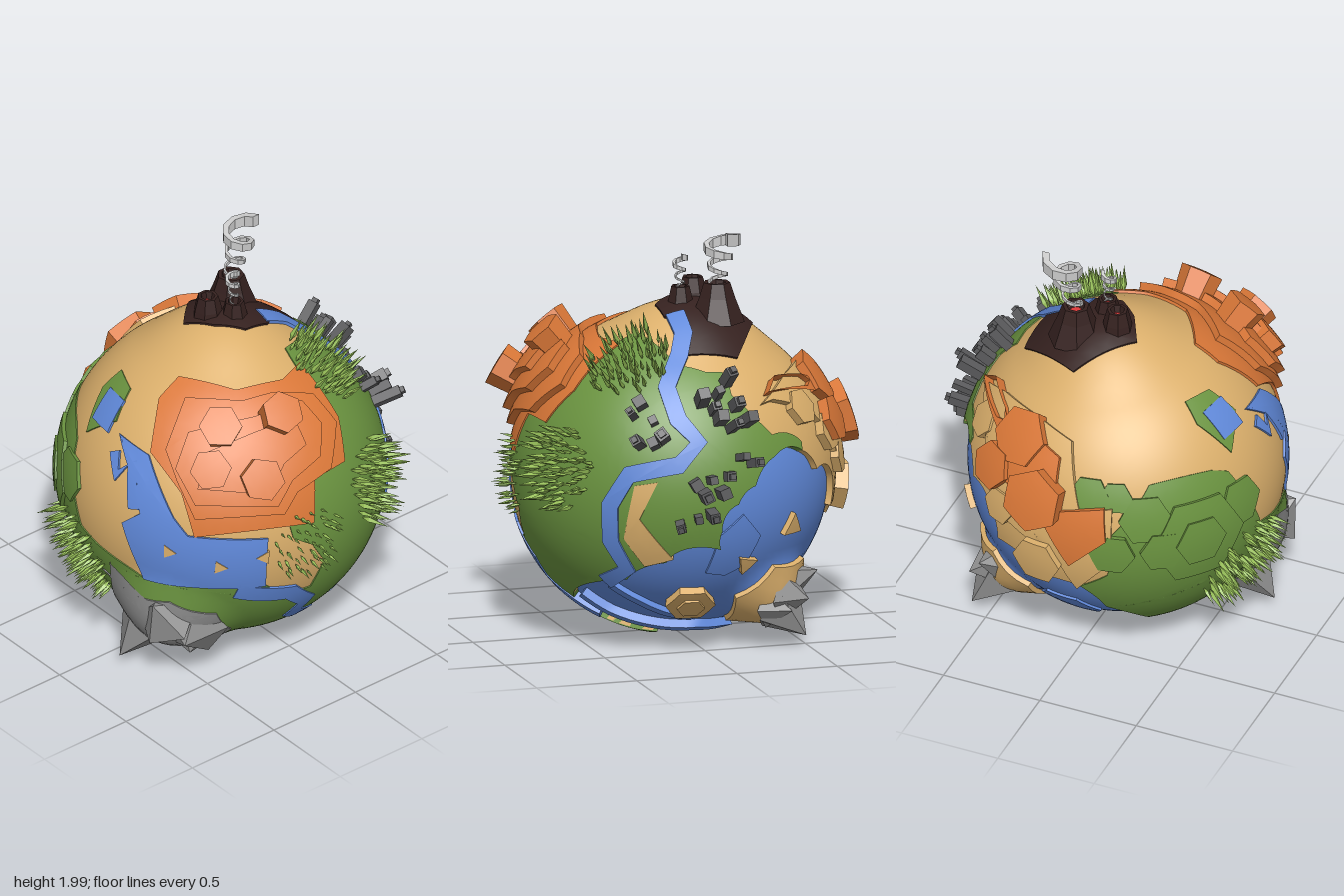
import * as THREE from 'three';
import { mergeGeometries, toCreasedNormals } from 'three/addons/utils/BufferGeometryUtils.js';

const R = 0.775, CY = 0.785, SEA = -0.03;
const GREEN = 0x6b9440, SAND = 0xdcb06c, ORANGE = 0xdb7838, BLUE = 0x6089da;
const BROWN = 0x35211f, GREY = 0x8c8c8c, LEAF = 0x97bf58, CITY = 0x5a5a5c;
const V = (x, y, z) => new THREE.Vector3(x, y, z);
const dir = (x, y, z) => V(x, y, z).normalize();

let seed = 7;
const rand = () => (seed = (seed * 16807) % 2147483647) / 2147483647;

// Flat charts: each turns a list of u, v pairs into directions from the globe's centre
const chart = (a, b, toward, scale, v0 = 0) => (...n) => {
  const out = [];
  for (let i = 0; i < n.length; i += 2) {
    const p = a.clone().multiplyScalar(n[i] / scale / R).addScaledVector(b, (n[i + 1] - v0) / scale / R);
    const l = p.lengthSq();
    if (l < 1) p.addScaledVector(toward, Math.sqrt(1 - l));
    out.push(p.normalize());
  }
  return out;
};
const F = chart(V(1, 0, 0), V(0, 1, 0), V(0, 0, 1), 100, 78.5); // front: x, y
const S = chart(V(0, 0, 1), V(0, 1, 0), V(1, 0, 0), 100, 78.5); // side: z, y
const T = chart(V(1, 0, 0), V(0, 0, 1), V(0, 1, 0), 100);       // top: x, z
const h = Math.SQRT1_2, q = h / 2, k = Math.sqrt(0.75);
const BL = chart(V(-h, 0, h), V(q, k, q), V(-k * h, 0.5, -k * h), 157);  // back corner, high
const BR = chart(V(-h, 0, -h), V(q, k, -q), V(k * h, -0.5, -k * h), 157); // back corner, low

// Ground height: sphere plus rises under the volcano and the two crags
const CRAG_A = dir(0.57, -0.70, -0.44), CRAG_B = dir(-0.64, -0.55, 0.32);
const rises = [[dir(0.1, 1, -0.1), 0.075, 0.6], [CRAG_A, 0.13, 0.36], [CRAG_B, 0.13, 0.5]];
const ground = d => rises.reduce((r, [c, amp, w]) => {
  const t = Math.max(0, 1 - d.angleTo(c) / w);
  return r + amp * t * t * (3 - 2 * t);
}, R);
const onGround = (d, up = 0) => d.clone().multiplyScalar(ground(d) + up).add(V(0, CY, 0));

export function createModel() {
  const root = new THREE.Group();
  const mats = {};
  const add = (name, geo, color, flat = false) => {
    const key = color + '-' + flat;
    mats[key] ??= new THREE.MeshStandardMaterial({ color, flatShading: flat, side: THREE.DoubleSide });
    const m = new THREE.Mesh(geo, mats[key]);
    m.name = name;
    root.add(m);
    return m;
  };

  // Raised patch of ground: outline filled, split finely and wrapped on the globe, with a skirt
  const patch = (name, color, pts, up, centre) => {
    const c = centre || pts.reduce((s, p) => s.add(p), V(0, 0, 0)).normalize();
    const e1 = V(0.31, 0.22, 0.93).cross(c).normalize(), e2 = c.clone().cross(e1);
    let flat = pts.map(p => {
      const x = p.dot(e1), y = p.dot(e2), s = c.angleTo(p) / (Math.hypot(x, y) || 1);
      return new THREE.Vector2(x * s, y * s);
    });
    if (THREE.ShapeUtils.isClockWise(flat)) flat = flat.reverse();
    const wrap = (p, off) => {
      const a = p.length(), s = a ? Math.sin(a) / a : 1;
      return onGround(c.clone().multiplyScalar(Math.cos(a)).addScaledVector(e1, p.x * s).addScaledVector(e2, p.y * s), off);
    };
    const pos = [], LIM = 0.085;
    const tri = (...v) => v.forEach(p => pos.push(p.x, p.y, p.z));
    const mid = (a, b) => a.clone().add(b).multiplyScalar(0.5);
    const fill = (a, b, d) => {
      const ab = a.distanceTo(b), bd = b.distanceTo(d), da = d.distanceTo(a), m = Math.max(ab, bd, da);
      if (m < LIM) tri(wrap(a, up), wrap(b, up), wrap(d, up));
      else if (m === ab) { const x = mid(a, b); fill(a, x, d); fill(x, b, d); }
      else if (m === bd) fill(b, d, a);
      else fill(d, a, b);
    };
    const skirt = (a, b) => {
      if (a.distanceTo(b) >= LIM) { const x = mid(a, b); skirt(a, x); skirt(x, b); return; }
      const [a0, b0, a1, b1] = [wrap(a, SEA - 0.01), wrap(b, SEA - 0.01), wrap(a, up), wrap(b, up)];
      tri(a0, b0, b1, a0, b1, a1);
    };
    THREE.ShapeUtils.triangulateShape(flat, []).forEach(f => fill(flat[f[0]], flat[f[1]], flat[f[2]]));
    flat.forEach((p, i) => skirt(p, flat[(i + 1) % flat.length]));
    const g = new THREE.BufferGeometry();
    g.setAttribute('position', new THREE.Float32BufferAttribute(pos, 3));
    return add(name, toCreasedNormals(g, 0.6), color);
  };
  const hexTile = (name, color, d, radius, up, turn = 0, sides = 6) => {
    const e1 = V(0, 1, 0).cross(d).normalize(), e2 = d.clone().cross(e1);
    return patch(name, color, Array.from({ length: sides }, (_, i) => {
      const a = turn + i / sides * Math.PI * 2;
      return d.clone().addScaledVector(e1, Math.cos(a) * radius / R).addScaledVector(e2, Math.sin(a) * radius / R).normalize();
    }), up);
  };
  const ribbon = (name, color, pts, half, up) => {
    const L = [], Rr = [];
    pts.forEach((p, i) => {
      const t = pts[Math.min(i + 1, pts.length - 1)].clone().sub(pts[Math.max(i - 1, 0)]);
      const s = p.clone().cross(t).normalize().multiplyScalar(half / R);
      L.push(p.clone().add(s).normalize());
      Rr.unshift(p.clone().sub(s).normalize());
    });
    patch(name, color, [...L, ...Rr], up);
  };
  // Stand a geometry built along +y on the ground, pointing outward
  const stand = (geo, d, up = 0, spin = 0, out = d) => {
    const p = onGround(d, up);
    return geo.rotateY(spin).applyQuaternion(new THREE.Quaternion().setFromUnitVectors(V(0, 1, 0), out)).translate(p.x, p.y, p.z);
  };

  // Sunken ocean globe
  const globe = new THREE.SphereGeometry(1, 96, 64), gp = globe.attributes.position;
  for (let i = 0; i < gp.count; i++) {
    const p = onGround(V().fromBufferAttribute(gp, i).normalize(), SEA);
    gp.setXYZ(i, p.x, p.y, p.z);
  }
  globe.computeVertexNormals();
  add('ocean', globe, BLUE);

  // Sandy mainland: everything outside the coastline
  const coast = [...S(-28, 98, -17, 86, -8, 78, 0, 65, 0, 56, 25, 50, 40, 40, 52, 36, 55, 27, 40, 12, 15, 6),
    ...BR(39, -95, 86, -63, 91, -30, 91, 2, 69, 14, 34, 38, 26, 66, 0, 72), ...S(-45, 98)];
  const inland = coast.reduce((s, p) => s.sub(p), V(0, 0, 0)).normalize();
  patch('mainland', SAND, coast, 0, inland);

  // Grassland over the front, side and underside
  patch('grassland', GREEN, [...F(18, 150), ...S(20, 148, 12, 140, 0, 137, -10, 136, -10, 127, -20, 116, -28, 108, -45, 102, -45, 98),
    ...coast.slice(0, 15), ...BL(-55, -73, -55, -43, -40, -30, -22, -8, 28, -8, 42, -12, 55, -35, 70, -60, 85, -58),
    ...F(-70, 60, -30, 60, -18, 50, -5, 50, 0, 65, -8, 78, -18, 85, -20, 100, 0, 115, 20, 130)], 0.006, inland);
  hexTile('grassTile', GREEN, BL(13, -58)[0], 0.25, 0.025);
  hexTile('grassTileTop', GREEN, BL(13, -58)[0], 0.13, 0.035);
  [[-28, -34, 0.13], [50, -38, 0.13], [-47, -13, 0.08]].forEach(([x, y, r]) => hexTile('grassTile', GREEN, BL(x, y)[0], r, 0.018));
  [[-62, -48], [-50, -66], [-28, -80]].forEach(([x, z], i) => hexTile('grassTile', GREEN, T(x, z)[0], 0.11, 0.02 + i * 0.006, i));
  hexTile('grassTile', GREEN, T(-13, -71)[0], 0.1, 0.02);

  // Ocean shelves and islands
  patch('oceanShelf', BLUE, S(5, 42, -5, 40, -15, 45, -22, 60, -12, 72, 0, 62), SEA + 0.012);
  hexTile('oceanShelf', BLUE, BR(54, -43)[0], 0.17, SEA + 0.012);
  ribbon('oceanLip', BLUE, S(53, 27, 40, 18, 22, 12, 0, 10, -18, 9), 0.025, 0.012);
  ribbon('oceanLip', BLUE, S(46, 35, 32, 26, 20, 20, 5, 16), 0.018, 0);
  hexTile('islandRing', SAND, S(9, 25)[0], 0.12, 0.012);
  hexTile('islandTop', SAND, S(9, 25)[0], 0.065, 0.025);
  hexTile('islet', SAND, S(-40, 62)[0], 0.07, 0, -0.5, 3);
  hexTile('islet', SAND, S(-15, 46)[0], 0.06, 0, 0.3, 3);
  hexTile('cragIsland', SAND, CRAG_A, 0.25, -0.005);
  patch('sandBank', SAND, S(40, 88, 30, 90, 38, 72, 22, 52, 34, 48, 44, 62), 0.012);

  // Rivers, lake and pond
  ribbon('lavaSideRiver', BLUE, [...T(18, 5, 31, 5, 41, 10, 53, 20), ...S(18, 118, 10, 108, 20, 98, 42, 93, 50, 78, 49, 60, 41, 46, 48, 38)], 0.042, 0.016);
  ribbon('frontRiver', BLUE, F(-42, 58, -16, 51, -4, 40, -7, 30, 6, 22, 14, 14), 0.048, 0.012);
  patch('lake', BLUE, F(-70, 60, -30, 60, -30, 88, -60, 90, -63, 98, -61, 122, -65, 126, -69, 108, -71, 96, -75, 88), 0.012);
  patch('pondShore', GREEN, T(-65, -22, -50, -28, -42, -24, -48, -10, -60, -6), 0.008);
  patch('pond', BLUE, T(-61, -22, -50, -22, -53, -8, -64, -7), 0.012);
  ribbon('lakeStream', BLUE, T(-67, 2, -71, 8, -66, 14, -72, 22), 0.03, 0.012);
  [[-66, 80], [-32, 78], [-50, 74]].forEach(([x, y], i) => hexTile('sandbar', SAND, F(x, y)[0], 0.04, 0.016, i, 3));

  // Front mesa: stepped plateaus topped with hexagonal blocks
  patch('mesaBase', ORANGE, [...F(-58, 90, -7, 90, -2, 110, 18, 110, 24, 126, 20, 146), ...T(5, 38, -18, 32, -33, 8, -45, 8, -60, 20), ...F(-58, 110)], 0.014);
  patch('mesaStep', ORANGE, [...F(-56, 100, -22, 100, -14, 108, 6, 112, 18, 126, 13, 138), ...T(-5, 42, -20, 38, -38, 20, -55, 27), ...F(-57, 115)], 0.05);
  patch('mesaStep', ORANGE, [...F(-54, 107, -25, 105, -16, 114, 0, 119, 7, 129, 3, 138), ...T(-20, 46, -45, 32), ...F(-55, 120)], 0.09);
  patch('mesaStep', ORANGE, [...F(-51, 114, -28, 111, -18, 121, -6, 125, -6, 134), ...T(-24, 50, -44, 42)], 0.125);
  [[-0.42, 0.68, 0.5, 0.18], [-0.13, 0.68, 0.6, 0.18], [-0.37, 0.49, 0.76, 0.21], [-0.52, 0.5, 0.55, 0.15]].forEach(([x, y, z, up], i) =>
    hexTile('mesaBlock', ORANGE, dir(x, y, z), 0.085, up, i * 0.4));

  // Back mesa: sand shelf, orange shelf and hexagonal tiles
  patch('backShelf', SAND, [...T(60, -24, 42, -40, 20, -53, 0, -60, -10, -74), ...BL(-50, -20, -52, -60, -72, -78), ...S(-78, 72, -68, 86, -62, 100, -50, 114, -30, 122)], 0.03);
  patch('backMesa', ORANGE, [...T(56, -27, 40, -50, 20, -58, 3, -65, 1, -75), ...BL(-55, -18, -56, -42, -78, -56), ...S(-76, 92, -66, 104, -62, 114, -48, 127, -32, 130)], 0.055);
  hexTile('backMesaTile', ORANGE, dir(0.12, 0.27, -0.85), 0.14, 0.125, 0.5);
  hexTile('backMesaTile', ORANGE, dir(0.28, 0.5, -0.68), 0.14, 0.075, 0.2);
  hexTile('backMesaTile', ORANGE, dir(0.4, 0.3, -0.7), 0.11, 0.08, 0.9);
  [[-62, 102, 0.1], [-70, 88, 0.09], [-46, 116, 0.09]].forEach(([z, y, r], i) => hexTile('sandTile', SAND, S(z, y)[0], r, 0.042, i));
  hexTile('sandTile', SAND, dir(0.1, -0.1, -0.8), 0.12, 0.065);

  // Volcano group with lava, and curling smoke
  patch('volcanoSlope', BROWN, T(10, -35, 33, -24, 43, -18, 42, 6, 28, 4, 18, 10, 5, 10, -5, 0, -12, -13), 0.01);
  [[0.18, -0.16, 1.73, 0.135, 0.065], [-0.01, -0.1, 1.72, 0.085, 0.05], [0.08, -0.01, 1.7, 0.085, 0.045]].forEach(([x, z, top, base, rim]) => {
    const y0 = 1.54, prof = [[base, y0], [rim * 1.35, top - 0.07], [rim, top], [rim * 0.7, top], [rim * 0.5, top - 0.04]];
    add('volcanoCone', new THREE.LatheGeometry(prof.map(p => new THREE.Vector2(...p)), 7), BROWN, true).position.set(x, 0, z);
    add('lava', new THREE.CircleGeometry(rim * 0.6, 7).rotateX(-Math.PI / 2), 0xe03a3a, true).position.set(x, top - 0.035, z);
  });
  const smoke = (x, z, y0, y1, r0, r1, drift, thick, turns) => {
    const pos = [], idx = [], n = turns * 9;
    for (let i = 0; i <= n; i++) {
      const t = i / n, a = t * turns * Math.PI * 2, r = r0 + (r1 - r0) * t * t, w = thick * (0.25 + 0.75 * t * t);
      [[-1, -1], [1, -1], [1, 1], [-1, 1]].forEach(([u, v]) => pos.push(
        x + drift * t + Math.cos(a) * (r + u * w * 0.6), y0 + (y1 - y0) * t + v * w, z + Math.sin(a) * (r + u * w * 0.6)));
      for (let j = 0; j < 4 && i < n; j++) {
        const a0 = i * 4 + j, b0 = i * 4 + (j + 1) % 4;
        idx.push(a0, a0 + 4, b0, b0, a0 + 4, b0 + 4);
      }
    }
    idx.push(0, 1, 2, 0, 2, 3, n * 4, n * 4 + 2, n * 4 + 1, n * 4, n * 4 + 3, n * 4 + 2);
    const g = new THREE.BufferGeometry();
    g.setAttribute('position', new THREE.Float32BufferAttribute(pos, 3));
    g.setIndex(idx);
    g.computeVertexNormals();
    add('smoke', g, 0xc4c4c4, true);
  };
  smoke(0.18, -0.16, 1.7, 1.97, 0.04, 0.085, 0.07, 0.03, 3);
  smoke(0.08, -0.01, 1.67, 1.845, 0.02, 0.035, -0.01, 0.015, 3);

  // Grey crags
  patch('rockSlope', GREY, [...F(-76, 50, -62, 52, -46, 44, -34, 28, -40, 12), ...BL(72, -95, 92, -62)], 0.012);
  const crag = (base, tip, radius, spin) => {
    const foot = onGround(base.clone().normalize(), -0.06), to = V(...tip).sub(foot), len = to.length();
    const g = new THREE.ConeGeometry(radius, len, 5).translate(0, len / 2, 0);
    add('crag', stand(g, base, -0.06, spin, to.normalize()), GREY, true);
  };
  crag(CRAG_A, [0.58, 0.07, -0.48], 0.14, 0);
  crag(dir(0.6, -0.62, -0.46), [0.59, 0.25, -0.49], 0.13, 1);
  crag(dir(0.57, -0.64, -0.36), [0.61, 0.2, -0.4], 0.11, 2);
  crag(dir(0.55, -0.55, -0.52), [0.51, 0.37, -0.56], 0.09, 3);
  crag(dir(-0.64, -0.62, 0.16), [-0.73, 0.07, 0.12], 0.16, 0);
  crag(dir(-0.64, -0.42, 0.36), [-0.73, 0.49, 0.37], 0.16, 1);
  crag(dir(-0.55, -0.5, 0.43), [-0.63, 0.28, 0.49], 0.18, 2);
  crag(dir(-0.5, -0.65, 0.35), [-0.51, 0.13, 0.38], 0.14, 4);

  // Forests of slender pointed trees
  const forest = (c, spread, count, size) => {
    const trees = [];
    const e1 = V(0.2, 1, 0.1).cross(c).normalize(), e2 = c.clone().cross(e1);
    for (let i = 0; i < count; i++) {
      const r = spread / R * Math.sqrt((i + 0.5) / count), a = i * 2.4 + rand() * 0.5, s = size * (0.7 + rand() * 0.5);
      const d = c.clone().addScaledVector(e1, Math.cos(a) * r).addScaledVector(e2, Math.sin(a) * r).normalize();
      const prof = [[0, 0], [s * 0.11, s * 0.3], [0, s]].map(p => new THREE.Vector2(...p));
      trees.push(stand(new THREE.LatheGeometry(prof, 4), d, 0, rand() * 3));
    }
    add('forest', mergeGeometries(trees), LEAF, true);
  };
  forest(F(36, 92)[0], 0.2, 70, 0.13);
  forest(F(-10, 80)[0], 0.19, 45, 0.08);
  forest(T(34, 33)[0], 0.2, 70, 0.12);
  forest(dir(-0.72, -0.28, -0.2), 0.25, 85, 0.12);

  // City towers, some with a smaller rooftop
  const sites = S(33, 124, 37, 119, 29, 117, 36, 107, 30, 107, 26, 110, 6, 125, 1, 121, -2, 127, -8, 132, -1, 117, -6, 113, -13, 115,
    -10, 122, -9, 100, -15, 97, 6, 91, -3, 92, 1, 85, 9, 84, 13, 89, 20, 70, 12, 73, 6, 75);
  const towers = [];
  sites.forEach((d, i) => {
    const w = 0.035 + rand() * 0.022, t = 0.05 + rand() * 0.1, spin = rand() * 0.4;
    towers.push(stand(new THREE.BoxGeometry(w, t + 0.02, w).translate(0, t / 2 - 0.01, 0), d, 0, spin));
    if (i % 2) towers.push(stand(new THREE.BoxGeometry(w * 0.6, 0.02, w * 0.6).translate(0, t + 0.01, 0), d, 0, spin));
  });
  add('city', mergeGeometries(towers), CITY, true);
  return root;
}
